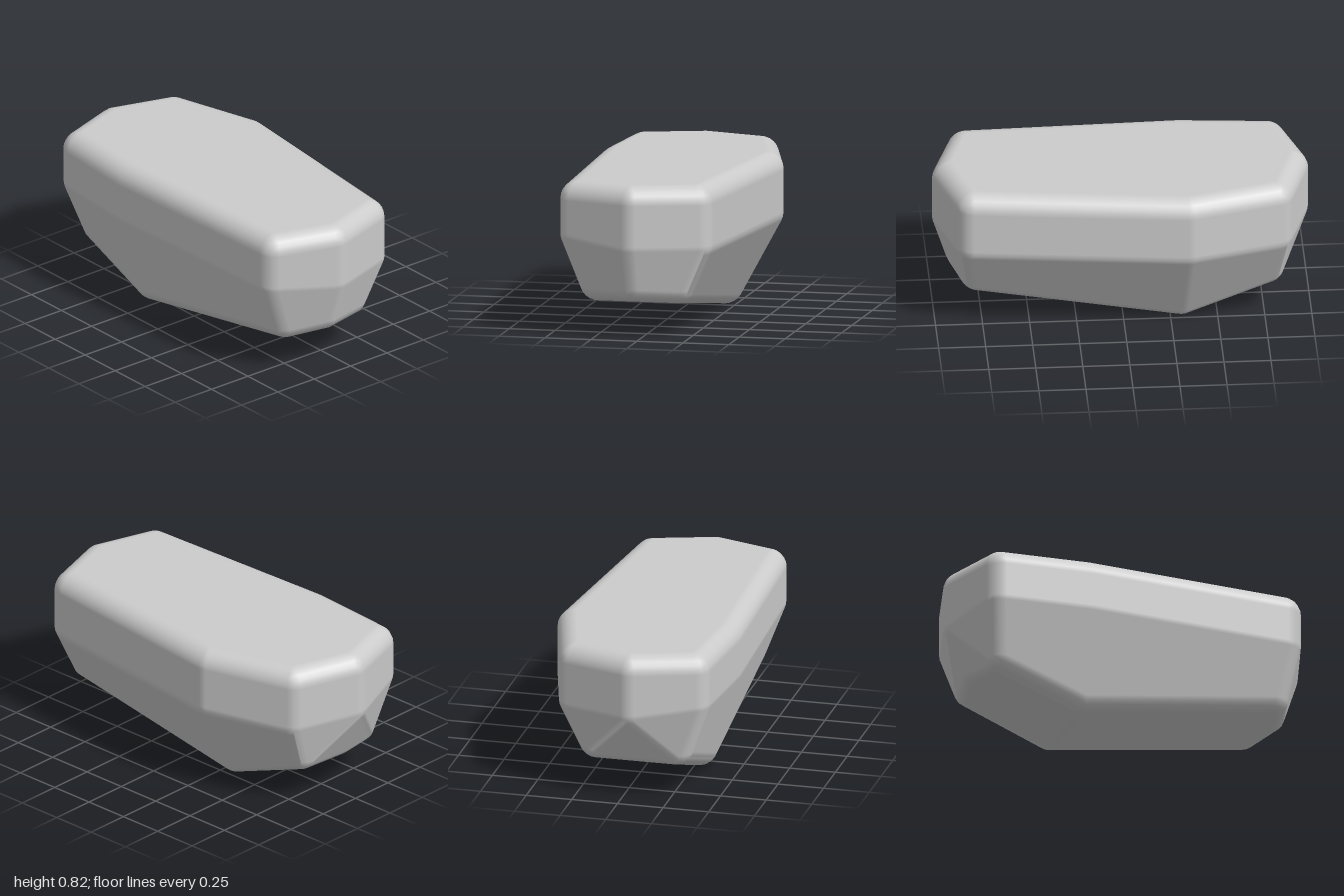
import * as THREE from 'three';
import { ConvexGeometry } from 'three/addons/geometries/ConvexGeometry.js';

const RADIUS = 0.1; // rounding of every edge

// Corner centres of the stone, inset by the rounding radius.
function corners() {
  // plan outline: x, z, height at which the wall starts to taper inwards
  const outline = [
    [-0.05, -0.9, 0.5], [0.27, -0.8, 0.5], [0.4, -0.33, 0.5], [0.27, 0.8, 0.5],
    [-0.05, 0.9, 0.5], [-0.36, 0.8, 0.54], [-0.4, -0.33, 0.54], [-0.36, -0.8, 0.54],
  ];
  const points = [];
  for (const [x, z, y] of outline) {
    points.push(new THREE.Vector3(x, 0.722, z), new THREE.Vector3(x, y, z));
  }
  // underside: keel line across the lowest part, rising to both ends
  const underside = [
    [-0.27, 0.1, -0.31], [0.185, 0.1, -0.31],
    [-0.26, 0.275, 0.77], [-0.05, 0.285, 0.83], [0.17, 0.275, 0.77],
    [-0.26, 0.265, -0.76], [-0.05, 0.285, -0.81], [0.17, 0.265, -0.76],
  ];
  for (const p of underside) points.push(new THREE.Vector3(...p));
  return points;
}

// Hull around a ball at each corner, with the ball normals for smooth shading.
function roundedHull(centres, radius) {
  const ball = new THREE.SphereGeometry(radius, 16, 12).attributes.position;
  const seen = new Map();
  const v = new THREE.Vector3();
  for (const c of centres) {
    for (let i = 0; i < ball.count; i++) {
      v.fromBufferAttribute(ball, i).add(c);
      const key = v.toArray().map((n) => n.toFixed(5)).join();
      if (!seen.has(key)) seen.set(key, v.clone());
    }
  }
  const geometry = new ConvexGeometry([...seen.values()]);
  const { position, normal } = geometry.attributes;
  for (let i = 0; i < position.count; i++) {
    v.fromBufferAttribute(position, i);
    const error = (c) => Math.abs(c.distanceTo(v) - radius);
    const owner = centres.reduce((a, b) => (error(b) < error(a) ? b : a));
    v.sub(owner).normalize();
    normal.setXYZ(i, v.x, v.y, v.z);
  }
  return geometry;
}

export function createModel() {
  const group = new THREE.Group();
  group.name = 'roundedStone';
  const stone = new THREE.Mesh(
    roundedHull(corners(), RADIUS),
    new THREE.MeshStandardMaterial({ color: 0xcccccc }),
  );
  stone.name = 'stoneBody';
  group.add(stone);
  return group;
}
